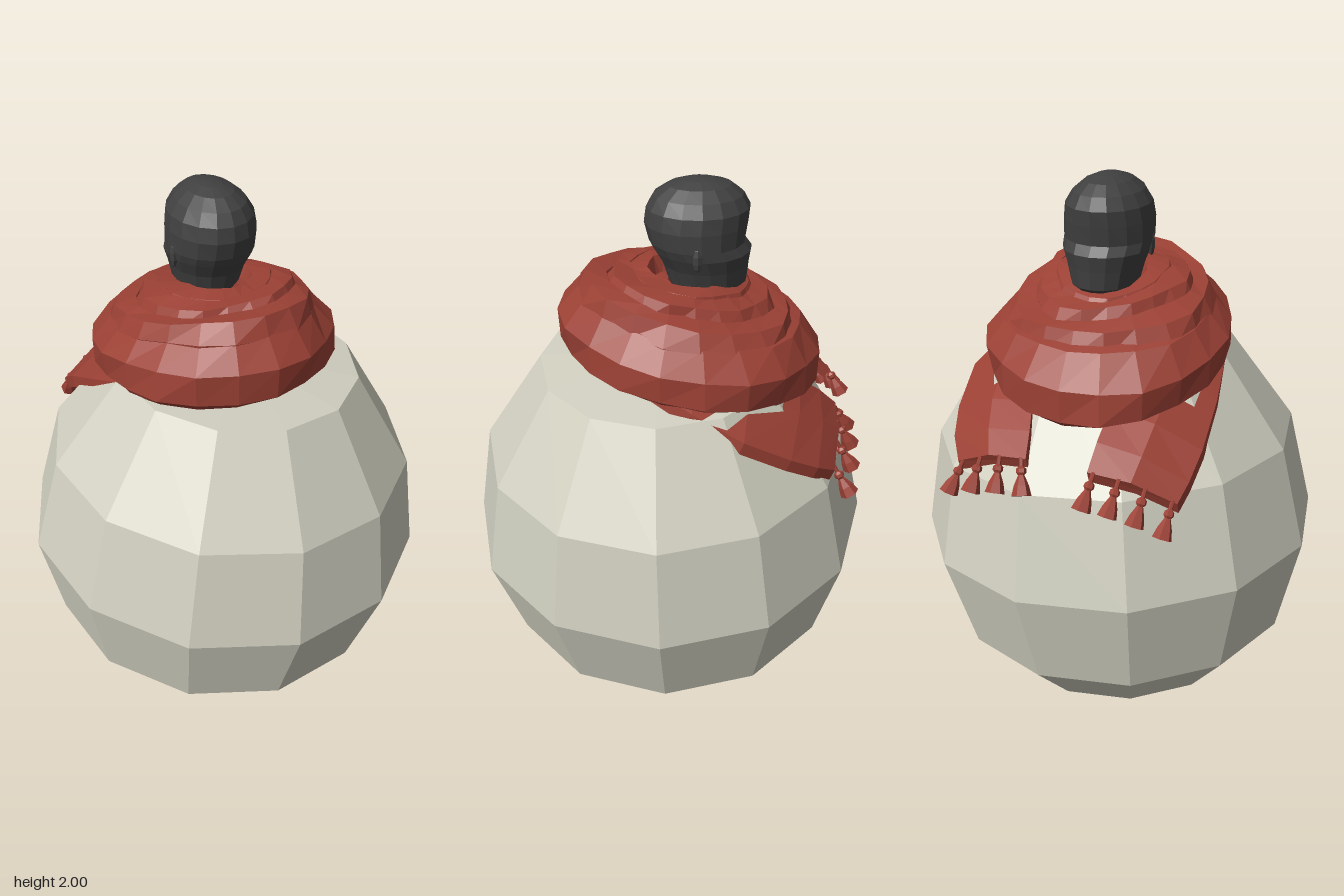
import * as THREE from 'three';

const bodyMat = new THREE.MeshStandardMaterial({ color: 0xd0cfc0, flatShading: true });
bodyMat.name = 'pale stone';
const scarfMat = new THREE.MeshStandardMaterial({ color: 0x9c4135, flatShading: true });
scarfMat.name = 'brick red wool';
const headMat = new THREE.MeshStandardMaterial({ color: 0x404040, flatShading: true });
headMat.name = 'charcoal';

const V = (x, y, z) => new THREE.Vector3(x, y, z);
const lathe = (points, sides, start) =>
  new THREE.LatheGeometry(points.map(p => new THREE.Vector2(...p)), sides, start);

// Skin through closed cross-sections; either join last row to first or cap both ends.
function loft(rows, joined) {
  const n = rows[0].length, pos = [], index = [];
  rows.forEach(r => r.forEach(p => pos.push(p.x, p.y, p.z)));
  const last = joined ? rows.length : rows.length - 1;
  for (let i = 0; i < last; i++) {
    const a = i * n, b = ((i + 1) % rows.length) * n;
    for (let j = 0; j < n; j++) {
      const k = (j + 1) % n;
      index.push(a + j, a + k, b + j, a + k, b + k, b + j);
    }
  }
  if (!joined) {
    const e = (rows.length - 1) * n;
    for (let j = 1; j < n - 1; j++) index.push(0, j + 1, j, e, e + j, e + j + 1);
  }
  const g = new THREE.BufferGeometry();
  g.setAttribute('position', new THREE.Float32BufferAttribute(pos, 3));
  g.setIndex(index);
  g.computeVertexNormals();
  return g;
}

function add(parent, name, geometry, material) {
  const m = new THREE.Mesh(geometry, material);
  m.name = name;
  parent.add(m);
  return m;
}

// One wrap of the scarf: a tilted, slightly uneven ring with a folded section.
function wrap({ y, cz, rx, rz, slope, phase, wobble, profile }) {
  const rows = [], n = 20;
  for (let i = 0; i < n; i++) {
    const t = (i / n) * Math.PI * 2;
    rows.push(profile.map(([dr, dy], j) => {
      const w = wobble * (Math.sin(3 * t + phase + j) + 0.6 * Math.sin(7 * t + phase * 2 + j * 2));
      const z = cz + (rz + dr + w) * Math.sin(t);
      const h = y + dy + slope * z + 0.8 * wobble * Math.sin(2 * t + phase + j * 1.3);
      return V((rx + dr + w) * Math.cos(t), h, z);
    }));
  }
  return loft(rows, true);
}

// A loose end: a thick strip through pairs of edge points, crowned along the middle.
function tail(stations) {
  return loft(stations.map(([l, r]) => {
    const a = V(...l), b = V(...r);
    const mid = a.clone().lerp(b, 0.5).add(V(0, 0.025, -0.012));
    const drop = V(0, -0.04, 0.015);
    return [a, mid, b, b.clone().add(drop), mid.clone().add(drop), a.clone().add(drop)];
  }), false);
}

// Cord, knot and flared brush in one profile, hanging from the origin.
const tasselGeo = lathe([
  [0, -0.108], [0.032, -0.108], [0.024, -0.075], [0.01, -0.042], [0.017, -0.034],
  [0.016, -0.022], [0.007, -0.014], [0.007, 0.015], [0, 0.015]
], 6);

function tassels(parent, name, from, to, spread) {
  const a = V(...from), b = V(...to);
  for (let i = 0; i < 4; i++) {
    const u = 0.06 + i * 0.293, arch = Math.sin(u * Math.PI);
    const m = add(parent, name, tasselGeo, scarfMat);
    m.position.copy(a).lerp(b, u).add(V(0, -0.012 + 0.02 * arch, -0.012 * arch));
    const dir = V(spread[0] + (spread[1] - spread[0]) * u, -0.85, -0.5).normalize();
    m.quaternion.setFromUnitVectors(V(0, -1, 0), dir);
  }
}

export function createModel() {
  const model = new THREE.Group();
  model.name = 'roundFigure';

  // Faceted round body, a little tilted, with a broad shoulder under the scarf
  const body = add(model, 'body', lathe([
    [0, -0.715], [0.23, -0.672], [0.455, -0.55], [0.63, -0.355], [0.722, 0],
    [0.645, 0.355], [0.42, 0.68], [0, 0.71]
  ], 12, -0.12), bodyMat);
  body.position.y = 0.715;
  body.rotation.set(0.04, 0, -0.06);

  // Head, looking backwards: height, half width, nape z, face z
  const headRows = [
    [1.55, 0.08, -0.02, -0.18], [1.64, 0.09, -0.01, -0.24], [1.66, 0.11, 0, -0.26],
    [1.72, 0.125, 0.02, -0.265], [1.77, 0.143, 0.05, -0.272], [1.8, 0.146, 0.065, -0.25],
    [1.86, 0.145, 0.08, -0.258], [1.91, 0.137, 0.073, -0.262], [1.95, 0.112, 0.05, -0.24],
    [1.98, 0.075, 0.005, -0.2], [1.995, 0.038, -0.045, -0.15], [2.0, 0.012, -0.085, -0.11]
  ].map(([y, w, zn, zf]) => Array.from({ length: 16 }, (_, j) => {
    const a = (j / 16) * Math.PI * 2;
    return V(w * Math.cos(a), y, (zn + zf) / 2 - ((zn - zf) / 2) * Math.sin(a));
  }));
  const head = new THREE.Group();
  head.name = 'head';
  model.add(head);
  add(head, 'skull', loft(headRows, false), headMat);
  for (const s of [-1, 1]) {
    const ear = add(head, 'ear', new THREE.SphereGeometry(1, 6, 5), headMat);
    ear.scale.set(0.012, 0.04, 0.018);
    ear.position.set(s * 0.139, 1.78, -0.08);
  }

  // Scarf wraps, from the wide outer one to the tight inner one
  const scarf = new THREE.Group();
  scarf.name = 'scarf';
  model.add(scarf);
  const fold = h => [[0, -h], [0.025, 0], [-0.01, h], [-0.07, h * 1.15], [-0.1, 0], [-0.06, -h]];
  const wraps = [
    { y: 1.475, cz: -0.08, rx: 0.4, rz: 0.435, slope: 0.16, phase: 0.4, wobble: 0.009,
      profile: [[-0.03, -0.1], [0.01, -0.07], [0.012, 0.03], [-0.06, 0.115], [-0.13, 0.125], [-0.2, 0.02], [-0.14, -0.1]] },
    { y: 1.575, cz: -0.07, rx: 0.325, rz: 0.345, slope: 0.19, phase: 2.1, wobble: 0.011, profile: fold(0.065) },
    { y: 1.61, cz: -0.065, rx: 0.255, rz: 0.265, slope: 0.17, phase: 3.7, wobble: 0.011, profile: fold(0.065) },
    { y: 1.625, cz: -0.07, rx: 0.195, rz: 0.205, slope: 0.14, phase: 5.2, wobble: 0.008, profile: fold(0.06) },
    { y: 1.595, cz: -0.085, rx: 0.14, rz: 0.155, slope: 0.06, phase: 1.3, wobble: 0.006, profile: fold(0.05) }
  ];
  wraps.forEach(w => add(scarf, 'scarfWrap', wrap(w), scarfMat));

  // Two loose ends lying down the back, each with a fringe
  const rightEnd = [[-0.4, 1.12, -0.545], [-0.13, 1.21, -0.61]];
  const leftEnd = [[0.09, 1.2, -0.585], [0.37, 1.11, -0.53]];
  add(scarf, 'rightTail', tail([
    [[-0.35, 1.46, 0.1], [-0.2, 1.5, 0.08]],
    [[-0.39, 1.4, -0.03], [-0.18, 1.48, -0.05]],
    [[-0.415, 1.32, -0.2], [-0.15, 1.43, -0.2]],
    [[-0.425, 1.23, -0.38], [-0.13, 1.34, -0.42]],
    [[-0.415, 1.165, -0.48], [-0.13, 1.275, -0.53]],
    rightEnd
  ]), scarfMat);
  add(scarf, 'leftTail', tail([
    [[0.2, 1.5, 0.08], [0.34, 1.46, 0.1]],
    [[0.18, 1.48, -0.05], [0.42, 1.39, -0.04]],
    [[0.16, 1.42, -0.25], [0.475, 1.31, -0.2]],
    [[0.13, 1.33, -0.44], [0.455, 1.22, -0.36]],
    [[0.105, 1.265, -0.52], [0.42, 1.16, -0.46]],
    leftEnd
  ]), scarfMat);
  tassels(scarf, 'rightTassel', ...rightEnd, [0.1, 0.15]);
  tassels(scarf, 'leftTassel', ...leftEnd, [-0.25, 0.3]);

  return model;
}
